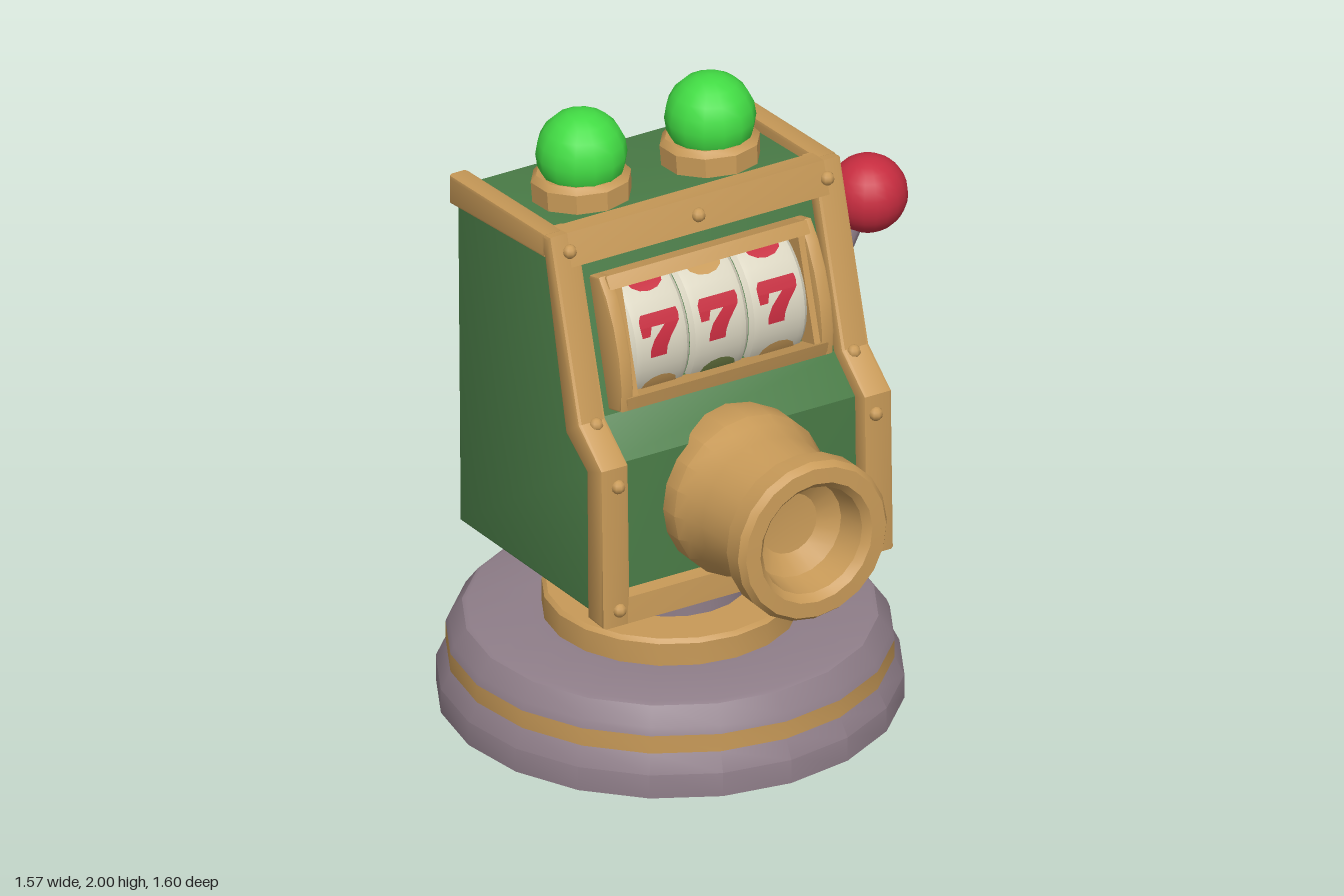
import * as THREE from 'three';
import { toCreasedNormals } from 'three/addons/utils/BufferGeometryUtils.js';

const mat = (name, color, side = THREE.FrontSide) => {
  const m = new THREE.MeshStandardMaterial({ color, side });
  m.name = name;
  return m;
};

export function createModel() {
  const green = mat('cabinet green', 0x4a7c47);
  const gold = mat('gold', 0xc89a58, THREE.DoubleSide);
  const metal = mat('purple metal', 0x8f7e89, THREE.DoubleSide);
  const lime = mat('lamp green', 0x42dc44);
  const red = mat('red', 0xc62c3f, THREE.DoubleSide);
  const cream = mat('reel cream', 0xd9d4c0);
  const olive = mat('olive', 0x6f7f45, THREE.DoubleSide);

  const root = new THREE.Group();
  root.name = 'slotMachineTurret';
  root.position.x = -0.07;

  const add = (name, geo, material, parent = root, pos = [0, 0, 0]) => {
    const m = new THREE.Mesh(geo, material);
    m.name = name;
    m.position.set(...pos);
    parent.add(m);
    return m;
  };
  const lathe = (pts, seg = 20) =>
    toCreasedNormals(new THREE.LatheGeometry(pts.map(p => new THREE.Vector2(...p)), seg), 0.5);
  // side profile given as [z, y], extruded across x
  const slab = (pts, width, bevel = 0.012) => {
    const g = new THREE.ExtrudeGeometry(new THREE.Shape(pts.map(p => new THREE.Vector2(...p))), {
      depth: width - 2 * bevel, bevelEnabled: bevel > 0, bevelThickness: bevel,
      bevelSize: bevel, bevelOffset: -bevel, bevelSegments: 2, curveSegments: 8,
    });
    g.translate(0, 0, bevel - width / 2);
    g.rotateY(-Math.PI / 2);
    return toCreasedNormals(g, 0.6);
  };

  // Hollow round base, open underneath
  const base = new THREE.Group();
  base.name = 'base';
  base.position.z = -0.08;
  root.add(base);
  add('baseSkirt', lathe([[0.72, 0], [0.72, 0.08], [0.69, 0.14]]), metal, base);
  add('baseBand', lathe([[0.69, 0.14], [0.69, 0.2]]), gold, base);
  add('baseTop', lathe([[0.69, 0.2], [0.68, 0.225], [0.64, 0.28], [0.625, 0.287], [0.395, 0.287]]), metal, base);
  add('baseRing', lathe([[0.395, 0.287], [0.395, 0.362], [0.383, 0.375], [0.24, 0.375]]), gold, base);
  add('column', lathe([[0.24, 0.375], [0.24, 0.6]]), metal, base);

  // Cabinet body
  add('cabinet', slab([[0.33, 0.57], [-0.5, 0.527], [-0.515, 1.68], [0.01, 1.735],
    [0.04, 1.72], [0.195, 1.18], [0.32, 1.08]], 1.0, 0.01), green);

  // Cabinet trim: two side rails following the silhouette, plus front bars
  for (const s of [-1, 1]) {
    add('frontRail', slab([[0.387, 0.557], [0.375, 1.1], [0.24, 1.2], [0.07, 1.775], [-0.01, 1.765],
      [0.035, 1.69], [0.16, 1.14], [0.285, 1.06], [0.29, 0.557]], 0.1), gold, root, [s * 0.47, 0, 0]);
    add('topRail', slab([[0.04, 1.772], [-0.53, 1.72], [-0.528, 1.62], [0.04, 1.69]], 0.07),
      gold, root, [s * 0.487, 0, 0]);
  }
  add('bottomBar', slab([[0.387, 0.557], [0.383, 0.645], [0.29, 0.645], [0.29, 0.557]], 0.94), gold);
  add('topBar', slab([[0.07, 1.775], [0, 1.768], [0, 1.67], [0.102, 1.67]], 0.94), gold);

  // Bolts on the trim
  const bolt = new THREE.SphereGeometry(0.023, 8, 6);
  for (const [y, z] of [[1.72, 0.088], [1.19, 0.245], [1.035, 0.376], [0.61, 0.384]])
    for (const s of [-1, 1]) add('bolt', bolt, gold, root, [s * 0.46, y, z]);
  add('bolt', bolt, gold, root, [0, 1.72, 0.088]);

  // Reel window on the sloping panel
  const display = new THREE.Group();
  display.name = 'reelWindow';
  display.position.set(0, 1.415, 0.177);
  display.rotation.x = -0.29;
  root.add(display);
  const arc = [[-0.06, 0.215]];
  arc.push([0.012, 0.215], [0.04, 0.15], [0.058, 0.06], [0.062, -0.04], [0.048, -0.14], [0.02, -0.215]);
  arc.push([-0.06, -0.215]);
  for (const s of [-1, 1]) {
    add('windowSide', slab(arc.slice().reverse(), 0.045, 0.008), gold, display, [s * 0.358, 0, 0]);
    add('windowInnerSide', new THREE.BoxGeometry(0.025, 0.36, 0.08), gold, display, [s * 0.327, 0, -0.01]);
  }
  add('windowTop', slab([[0.022, 0.215], [-0.06, 0.215], [-0.06, 0.172], [0.035, 0.172]], 0.72, 0.008), gold, display);
  add('windowBottom', slab([[0.045, -0.172], [-0.06, -0.172], [-0.06, -0.215], [0.02, -0.215]], 0.72, 0.008), gold, display);

  // Reels with symbols wrapped on their surface; rows are [y, left, right]
  const R = 0.24;
  const wrap = (rows, angle) => {
    const pos = [], index = [];
    rows.forEach(([y, a, b], i) => {
      const t = angle + y / R, r = R + 0.004;
      for (const x of [a, b]) pos.push(x, r * Math.sin(t), r * Math.cos(t));
      const k = i * 2;
      if (i) index.push(k - 2, k, k + 1, k - 2, k + 1, k - 1);
    });
    const g = new THREE.BufferGeometry();
    g.setAttribute('position', new THREE.Float32BufferAttribute(pos, 3));
    g.setIndex(index);
    g.computeVertexNormals();
    return g;
  };
  const sevenBody = [[-0.07, -0.045, 0.012], [-0.045, -0.043, 0.016], [-0.015, -0.028, 0.032],
    [0.012, 0, 0.055], [0.026, 0.016, 0.066], [0.027, -0.07, 0.067], [0.05, -0.07, 0.07], [0.068, -0.06, 0.066]];
  const sevenTip = [[-0.002, -0.068, -0.04], [0.028, -0.07, -0.03]];
  const blob = [];
  for (let i = 0; i <= 6; i++) {
    const a = (i / 6 - 0.5) * Math.PI, w = 0.062 * Math.cos(a);
    blob.push([0.045 * Math.sin(a), -w, w]);
  }
  const reelGeo = lathe([[0.225, -0.104], [0.237, -0.09], [R, -0.07], [R, 0.07], [0.237, 0.09], [0.225, 0.104]], 40);
  reelGeo.rotateZ(Math.PI / 2);
  [-0.21, 0, 0.21].forEach((x, i) => {
    const reel = new THREE.Group();
    reel.name = 'reel';
    reel.position.set(x, 0, -0.2);
    display.add(reel);
    add('reelDrum', reelGeo, cream, reel);
    add('seven', wrap(sevenBody, 0), red, reel);
    add('sevenTip', wrap(sevenTip, 0), red, reel);
    add('upperSymbol', wrap(blob, 0.75), i === 1 ? gold : red, reel);
    add('lowerSymbol', wrap(blob, -0.78), i === 1 ? olive : gold, reel);
  });

  // Barrel with a flared root and a thick hollow mouth
  const barrel = add('barrel', lathe([[0.255, -0.16], [0.268, -0.1], [0.268, -0.01], [0.25, 0.03], [0.235, 0.1],
    [0.222, 0.27], [0.25, 0.282], [0.264, 0.295], [0.266, 0.365], [0.25, 0.388], [0.2, 0.39],
    [0.178, 0.365], [0.16, 0.27], [0.1, 0.225], [0, 0.215]]), gold, root, [0, 0.885, 0.4]);
  barrel.rotation.x = Math.PI / 2 - 0.045;

  // Lamps on the roof
  for (const x of [-0.23, 0.23]) {
    const collar = add('lampCollar', lathe([[0.155, -0.06], [0.158, 0.03], [0.14, 0.05], [0.1, 0.05]], 10),
      gold, root, [x, 1.745, -0.225]);
    collar.rotation.x = -0.09;
    add('lamp', new THREE.SphereGeometry(0.142, 14, 10), lime, root, [x, 1.858, -0.225]);
  }

  // Pull lever on the left side: two flattened lobes, rod and knob
  for (const [y, z, r] of [[0.955, -0.13, 0.15], [0.865, -0.32, 0.132]]) {
    const lobe = add('leverMount', new THREE.SphereGeometry(r, 16, 12), gold, root, [0.5, y, z]);
    lobe.scale.x = 0.058 / r;
  }
  const from = new THREE.Vector3(0.525, 0.96, -0.205), to = new THREE.Vector3(0.73, 1.5, -0.12);
  const dir = to.clone().sub(from);
  const rod = add('leverRod', new THREE.CylinderGeometry(0.027, 0.035, dir.length(), 10), metal, root,
    from.clone().add(to).multiplyScalar(0.5).toArray());
  rod.quaternion.setFromUnitVectors(new THREE.Vector3(0, 1, 0), dir.normalize());
  add('leverKnob', new THREE.SphereGeometry(0.124, 20, 14), red, root, to.toArray());

  return root;
}
